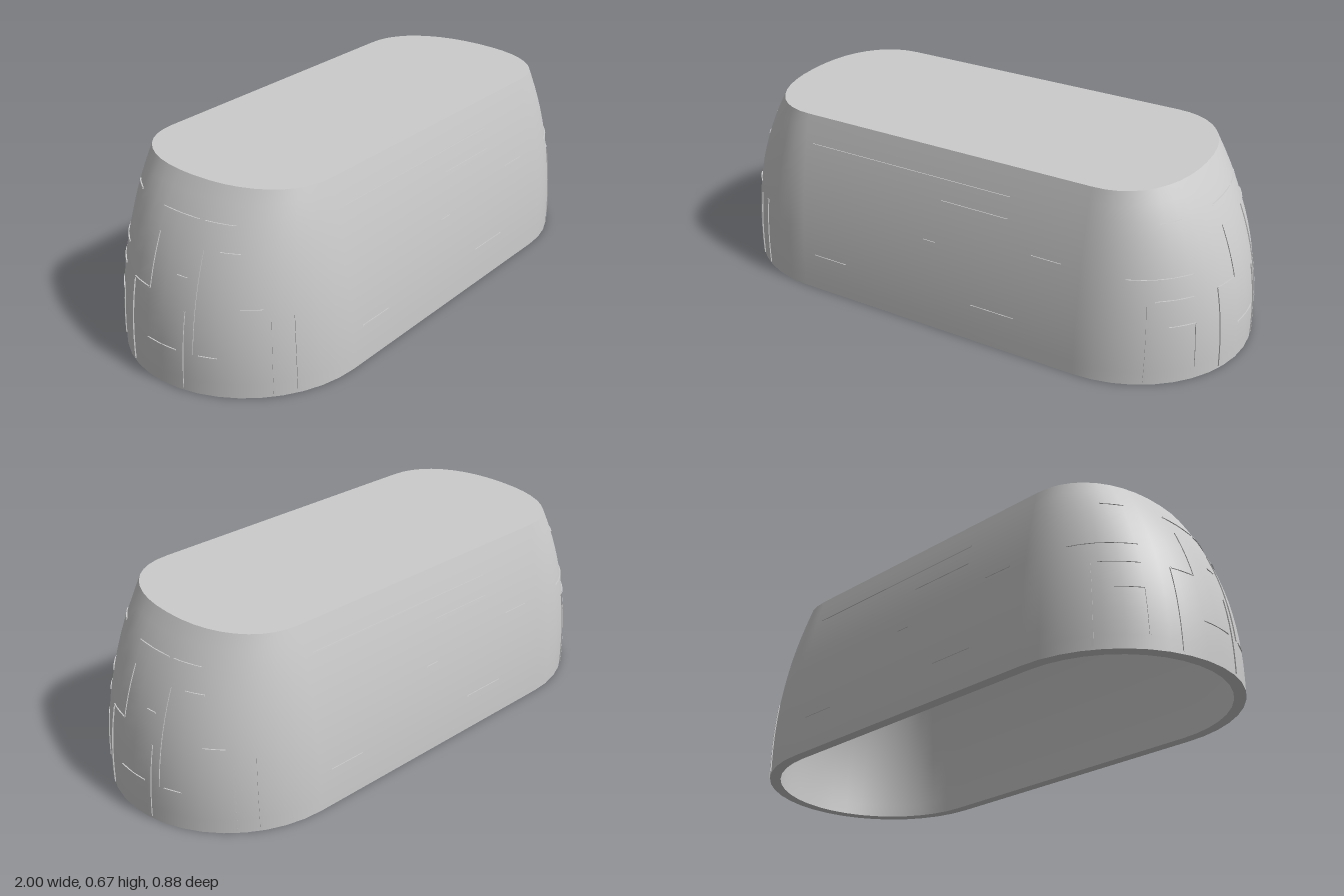
import * as THREE from 'three';

const H = 0.667, WALL = 0.04, STRAIGHT = 0.56, ARC = 20, ROWS = 14;
const material = new THREE.MeshStandardMaterial({ color: 0xcccccc, side: THREE.DoubleSide });
const faceted = material.clone();
faceted.flatShading = true;

// half length and half depth of the bowed shell at height y
const halfX = (y) => 1 - 0.19 * Math.pow(Math.max(y, 0) / H, 2.3);
const halfZ = (y) => 0.44 - 0.09 * Math.pow(Math.max(y, 0) / H, 2);

// point on a rounded end; angle runs from -90 (back) to 90 degrees (front)
function endPoint(side, angle, y, offset = 0) {
  const e = 1 - 0.1 * (y / H);
  const c = Math.pow(Math.max(Math.cos(angle), 0), e);
  const s = Math.sign(angle) * Math.pow(Math.abs(Math.sin(angle)), e);
  return [side * (STRAIGHT + (halfX(y) - STRAIGHT + offset) * c), y, (halfZ(y) + offset) * s];
}

// closed stadium loop at height y
function ring(y, offset = 0) {
  const points = [];
  for (const side of [1, -1]) {
    for (let i = 0; i <= ARC; i++) points.push(endPoint(side, side * Math.PI * (i / ARC - 0.5), y, offset));
  }
  return points;
}

// skin a list of equally long cross-sections
function skin(name, sections, closed, mat = material) {
  const n = sections[0].length, index = [];
  for (let r = 0; r < sections.length - 1; r++) {
    for (let i = 0; i < (closed ? n : n - 1); i++) {
      const a = r * n + i, b = r * n + (i + 1) % n;
      index.push(a, a + n, b, b, a + n, b + n);
    }
  }
  const geometry = new THREE.BufferGeometry();
  geometry.setAttribute('position', new THREE.Float32BufferAttribute(sections.flat(2), 3));
  geometry.setIndex(index);
  geometry.computeVertexNormals();
  const mesh = new THREE.Mesh(geometry, mat);
  mesh.name = name;
  return mesh;
}

// flat plate filling a loop
function plate(name, y, offset, up) {
  const shape = new THREE.Shape(ring(y, offset).map(([x, , z]) => new THREE.Vector2(x, -z)));
  const geometry = new THREE.ShapeGeometry(shape).rotateX(-Math.PI / 2).translate(0, y, 0);
  if (!up) {
    geometry.index.array.reverse();
    geometry.computeVertexNormals();
  }
  const mesh = new THREE.Mesh(geometry, material);
  mesh.name = name;
  return mesh;
}

// slim raised seam following the wall; place(u, y, offset) maps it to the surface
function seam(name, place, u0, y0, u1, y1) {
  const sections = [], steps = 10, w = 0.002;
  const vertical = u0 === u1;
  for (let i = 0; i <= steps; i++) {
    const t = i / steps, u = u0 + (u1 - u0) * t, y = y0 + (y1 - y0) * t;
    sections.push([[-w, -0.002], [-w, 0.003], [w, 0.003], [w, -0.002]].map(([d, out]) =>
      vertical ? place(u + d, y, out) : place(u, y - d, out)));
  }
  return skin(name, sections, false, faceted);
}

// [z0, y0, z1, y1] on a rounded end
const END_SEAMS = [
  [0.16, 0.01, 0.16, 0.31], [0.065, 0.31, 0.16, 0.31], [0.065, 0.31, 0.065, 0.49],
  [-0.08, 0.56, 0.08, 0.56], [-0.22, 0.56, -0.1, 0.56], [-0.085, 0.01, -0.085, 0.28],
  [-0.12, 0.14, -0.12, 0.48], [-0.06, 0.14, 0.065, 0.14], [0.255, 0.05, 0.255, 0.215],
  [0.255, 0.215, 0.33, 0.215], [0.255, 0.31, 0.36, 0.31], [0.375, 0.01, 0.375, 0.31],
  [0.25, 0.385, 0.41, 0.385], [-0.25, 0.48, -0.18, 0.48], [-0.32, 0.31, -0.26, 0.31],
  [-0.34, 0.01, -0.34, 0.27], [-0.385, 0.01, -0.385, 0.28], [-0.08, 0.385, -0.04, 0.385],
  [0.25, 0.56, 0.33, 0.56], [-0.2, 0.14, -0.14, 0.14],
];
// [x0, y0, x1, y1] on a long wall
const SIDE_SEAMS = [
  [-0.53, 0.565, 0.28, 0.565], [0.02, 0.49, 0.28, 0.49], [0.38, 0.39, 0.49, 0.39],
  [-0.04, 0.335, 0.01, 0.335], [-0.51, 0.14, -0.37, 0.14], [0.16, 0.14, 0.33, 0.14],
];

export function createModel() {
  const model = new THREE.Group();
  model.name = 'hollowStoneBlock';

  // hollow shell: bowed walls, flat roof, open underside
  const levels = (top) => Array.from({ length: ROWS + 1 }, (_, i) => top * i / ROWS);
  model.add(skin('outerWall', levels(H).map((y) => ring(y)), true));
  model.add(skin('innerWall', levels(H - WALL).reverse().map((y) => ring(y, -WALL)), true));
  model.add(skin('baseRim', [ring(0, -WALL), ring(0)], true));
  model.add(plate('roof', H, 0, true));
  model.add(plate('ceiling', H - WALL, -WALL, false));

  // masonry seams, repeated by a half turn
  const onEnd = (z, y, out) => endPoint(1, Math.asin(z / 0.44), y, out);
  const onSide = (x, y, out) => [x, y, halfZ(y) + out];
  for (const turn of [0, Math.PI]) {
    const seams = new THREE.Group();
    seams.name = turn ? 'backLeftSeams' : 'frontSeams';
    END_SEAMS.forEach((s) => seams.add(seam('endSeam', onEnd, ...s)));
    SIDE_SEAMS.forEach((s) => seams.add(seam('sideSeam', onSide, ...s)));
    seams.rotation.y = turn;
    model.add(seams);
  }
  return model;
}
